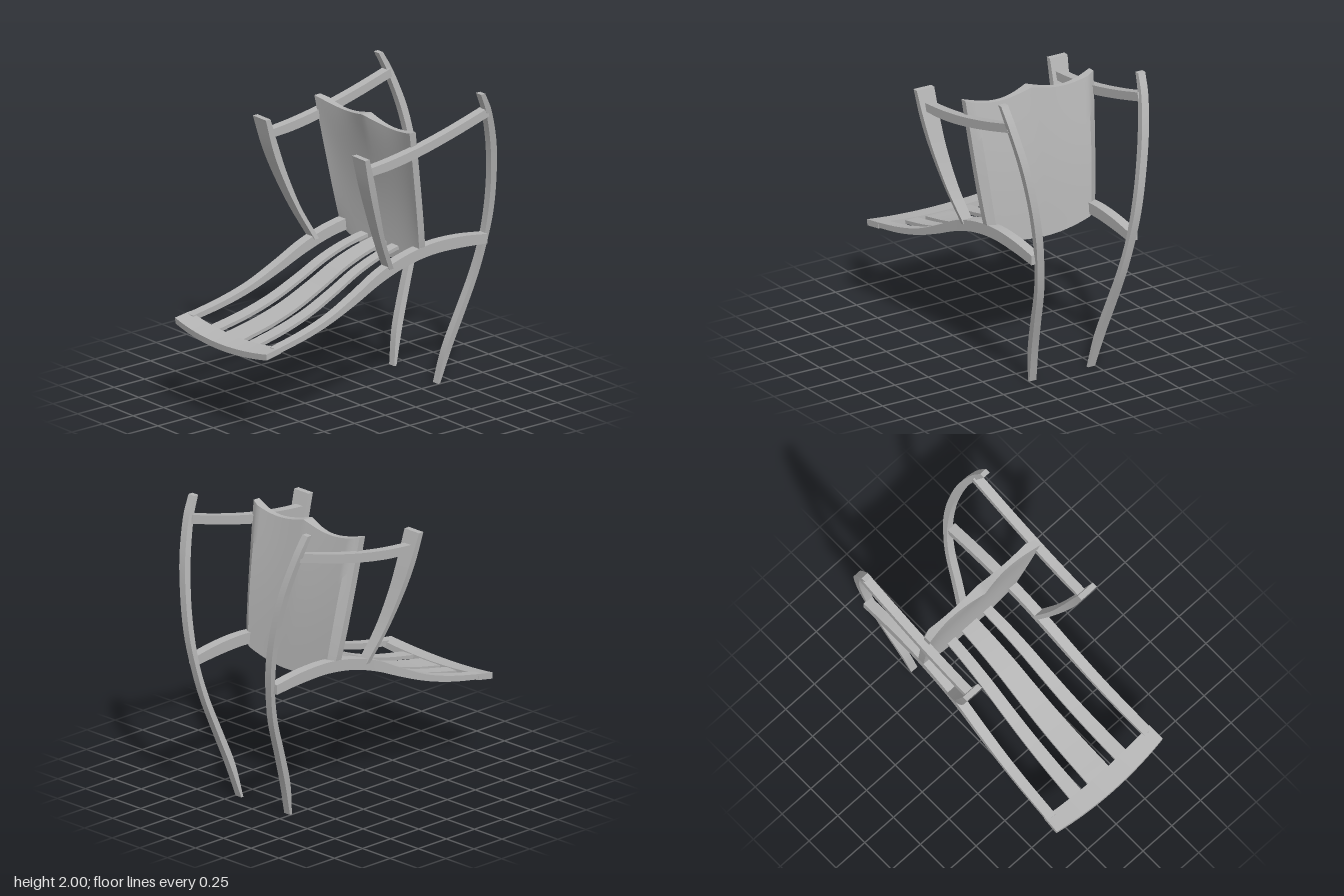
import * as THREE from 'three';
import { toCreasedNormals } from 'three/addons/utils/BufferGeometryUtils.js';

const wood = new THREE.MeshStandardMaterial({ color: 0xb4b4b4 });
wood.name = 'grey wood';

// Smoothly resample a few rows of numbers to n + 1 rows
function resample(rows, n) {
  const cr = (a, b, c, d, t) =>
    0.5 * (2 * b + (c - a) * t + (2 * a - 5 * b + 4 * c - d) * t * t + (3 * b - a - 3 * c + d) * t * t * t);
  const last = rows.length - 1;
  const at = (i, k) => i < 0 ? 2 * rows[0][k] - rows[1][k]
    : i > last ? 2 * rows[last][k] - rows[last - 1][k] : rows[i][k];
  return Array.from({ length: n + 1 }, (_, j) => {
    const f = (j / n) * last, i = Math.min(Math.floor(f), last - 1);
    return rows[0].map((_, k) => cr(at(i - 1, k), at(i, k), at(i + 1, k), at(i + 2, k), f - i));
  });
}

// Skin closed rings of [x, y, z] points, cap both ends and face the skin outward
function loft(name, rings, crease = 0.6) {
  const m = rings[0].length, pos = rings.flat(2), idx = [];
  for (let i = 0; i < rings.length - 1; i++) {
    for (let j = 0; j < m; j++) {
      const a = i * m + j, b = i * m + (j + 1) % m;
      idx.push(a, b, b + m, a, b + m, a + m);
    }
  }
  // caps join opposite points of the ring in strips
  const cap = (o, flip) => {
    for (let j = 0; j < m / 2 - 1; j++) {
      const a = o + j, b = o + j + 1, c = o + m - 2 - j, d = o + m - 1 - j;
      idx.push(...(flip ? [a, c, b, a, d, c] : [a, b, c, a, c, d]));
    }
  };
  cap(0, true);
  cap((rings.length - 1) * m, false);
  // signed volume tells whether the winding must be reversed
  const p = i => new THREE.Vector3().fromArray(pos, i * 3);
  const o = p(0);
  let volume = 0;
  for (let i = 0; i < idx.length; i += 3) {
    const [a, b, c] = [0, 1, 2].map(k => p(idx[i + k]).sub(o));
    volume += a.dot(b.cross(c));
  }
  if (volume < 0) idx.reverse();
  const geo = new THREE.BufferGeometry();
  geo.setAttribute('position', new THREE.Float32BufferAttribute(pos, 3));
  geo.setIndex(idx);
  const mesh = new THREE.Mesh(toCreasedNormals(geo, crease), wood);
  mesh.name = name;
  return mesh;
}

// Four-sided bar; row = [x centre, half width, zA, yA, zB, yB]
const bar = (name, rows, s = 1, n = 32) => loft(name, resample(rows, n).map(([x, w, za, ya, zb, yb]) => [
  [s * (x - w), ya, za], [s * (x + w), ya, za], [s * (x + w), yb, zb], [s * (x - w), yb, zb],
]));

// Saddled seat panel standing on edge, with a scalloped upper end
function seatPanel() {
  const N = 32, rings = [], lerp = THREE.MathUtils.lerp;
  for (let i = 0; i <= 24; i++) {
    const v = i / 24, ring = [], w = 0.39 + 0.09 * v ** 0.7;
    const y = u => lerp(0.87 + 0.08 * u * u, 1.84 - 0.04 * Math.sin(Math.PI * Math.abs(u)), v);
    const edge = lerp(-0.365, -0.215, v);
    for (let j = 0; j <= N; j++) {
      const u = -1 + 2 * j / N;
      const dip = 0.04 * Math.sin(Math.PI * v) * (1 - u ** 4)
        + 0.04 * v ** 4 * Math.sin(Math.PI * Math.abs(u));
      ring.push([w * u, y(u), edge - dip]);
    }
    for (let j = N; j >= 0; j--) {
      const u = -1 + 2 * j / N;
      const t = Math.min(1, (1 - Math.abs(u)) / 0.125);
      const back = lerp(-0.445, -0.29, v) - 0.015 * Math.sin(Math.PI * v);
      ring.push([w * u, y(u), lerp(edge - 0.05, back, t)]);
    }
    rings.push(ring);
  }
  return loft('seat', rings);
}

export function createModel() {
  const group = new THREE.Group();

  // Long S-curved back frame: z, top y, bottom y, x centre
  const frame = [
    [-0.92, 0.99, 0.925, 0.365], [-0.7, 1.02, 0.945, 0.367], [-0.47, 1.026, 0.95, 0.37],
    [-0.25, 0.995, 0.92, 0.375], [-0.04, 0.93, 0.855, 0.38], [0.17, 0.825, 0.765, 0.39],
    [0.38, 0.73, 0.685, 0.4], [0.6, 0.665, 0.625, 0.41], [0.85, 0.615, 0.58, 0.42],
  ];
  // Rear leg: x centre, inner z, outer z, y
  const leg = [
    [0.515, -0.75, -0.785, 2.0], [0.495, -0.81, -0.855, 1.86], [0.45, -0.88, -0.93, 1.62],
    [0.405, -0.92, -0.965, 1.36], [0.37, -0.925, -0.968, 1.13], [0.34, -0.905, -0.94, 0.92],
    [0.31, -0.85, -0.89, 0.7], [0.282, -0.765, -0.81, 0.47], [0.25, -0.68, -0.725, 0.23],
    [0.22, -0.637, -0.655, 0],
  ];
  // Flared arm post: x centre, half width, front z, back z, y
  const post = [
    [0.5, 0.066, 0.218, 0.18, 1.775], [0.487, 0.058, 0.165, 0.115, 1.57],
    [0.465, 0.05, 0.1, 0.055, 1.38], [0.425, 0.042, 0.005, -0.03, 1.15],
    [0.375, 0.037, -0.105, -0.14, 0.93],
  ];
  // Side rail between the arm post and the rear leg
  const rail = [
    [0.49, 0.03, 0.165, 1.69, 0.145, 1.636], [0.49, 0.03, -0.05, 1.712, -0.05, 1.65],
    [0.49, 0.03, -0.29, 1.752, -0.29, 1.69], [0.49, 0.03, -0.56, 1.815, -0.56, 1.755],
    [0.49, 0.03, -0.82, 1.888, -0.835, 1.832],
  ];
  for (const [side, s] of [['left', 1], ['right', -1]]) {
    group.add(
      bar(side + 'BackStile', frame.map(([z, t, b, x]) => [x, 0.033, z, t, z, b]), s, 40),
      bar(side + 'RearLeg', leg.map(([x, zi, zo, y]) => [x, 0.026, zi, y, zo, y]), s, 45),
      bar(side + 'ArmPost', post.map(([x, w, zf, zb, y]) => [x, w, zf, y, zb, y]), s),
      bar(side + 'SideRail', rail, s),
    );
  }

  // Back slats follow the frame, set a little below it
  const slat = (name, x0, x1, w0, w1, drop, s) => {
    const rows = resample(frame, 40).filter(r => r[0] > -0.42).map(([z, t, b]) => {
      const k = (z + 0.42) / 1.27, y = (t + b) / 2 - 0.015 - drop * k;
      return [x0 + (x1 - x0) * k, w0 + (w1 - w0) * k, z, y + 0.012, z, y - 0.012];
    });
    return bar(name, rows, s);
  };
  group.add(
    slat('centreSlat', 0, 0, 0.063, 0.09, 0.018, 1),
    slat('leftSlat', 0.153, 0.197, 0.034, 0.047, 0.012, 1),
    slat('rightSlat', 0.153, 0.197, 0.034, 0.047, 0.012, -1),
  );

  // Bowed crest rail across the end of the back
  group.add(loft('crestRail', Array.from({ length: 25 }, (_, i) => {
    const u = -1 + i / 12, q = 1 - u * u, x = 0.46 * u, xi = 0.455 * u;
    return [
      [xi, 0.622 - 0.036 * q, 0.82 + 0.015 * q], [x, 0.603 - 0.038 * q, 0.94 + 0.03 * q],
      [x, 0.562 - 0.04 * q, 0.935 + 0.03 * q], [xi, 0.582 - 0.038 * q, 0.815 + 0.015 * q],
    ];
  })));

  group.add(seatPanel());
  return group;
}
